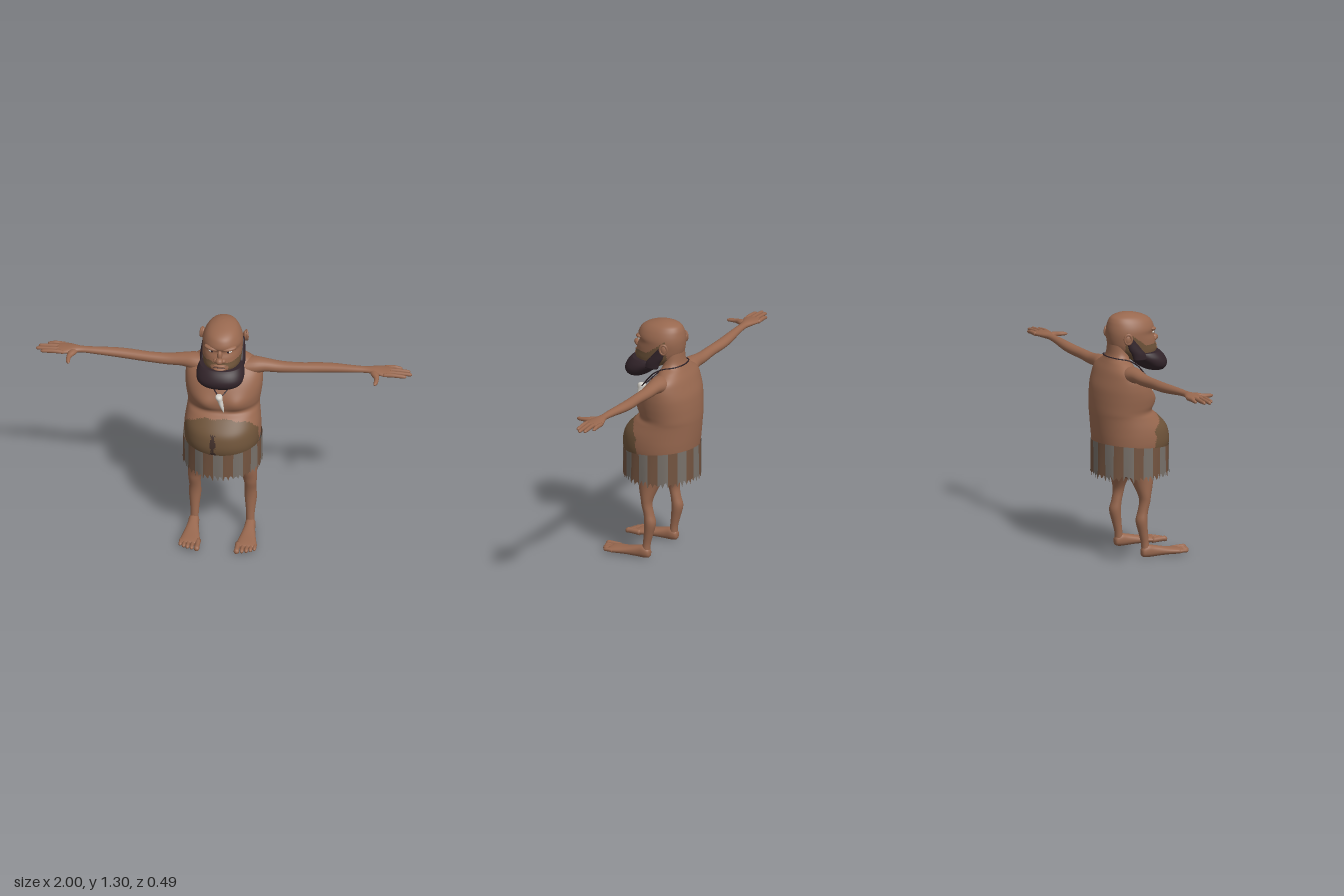
import * as THREE from 'three';

const material = (name, color, side = THREE.FrontSide) => {
  const m = new THREE.MeshStandardMaterial({ color, side });
  m.name = name;
  return m;
};

// Smooth closed body swept along an axis (0 x, 1 y, 2 z).
// Each row is [position, centre1, centre2, radius1, radius2], the two cross
// directions following the axis in x-y-z-x order (for y: z first, then x).
function loft(axis, rows, { n = 24, sub = 4, power = 2, shape, paint } = {}) {
  const pos = [], last = rows.length - 1, rings = last * sub + 1;
  const flip = rows[last][0] < rows[0][0];
  const row = (t) => {
    const i = Math.min(Math.floor(t), last - 1), f = t - i;
    const a = rows[Math.max(i - 1, 0)], b = rows[i], c = rows[i + 1], d = rows[Math.min(i + 2, last)];
    return b.map((v, k) => v + 0.5 * f * (c[k] - a[k]
      + f * (2 * a[k] - 5 * v + 4 * c[k] - d[k] + f * (3 * (v - c[k]) + d[k] - a[k]))));
  };
  const bulge = (v) => Math.sign(v) * Math.pow(Math.abs(v), 2 / power);
  const push = (t, c1, c2) => {
    const p = [0, 0, 0];
    p[axis] = t; p[(axis + 1) % 3] = c1; p[(axis + 2) % 3] = c2;
    if (shape) shape(p);
    pos.push(...p);
  };
  for (let i = 0; i < rings; i++) {
    const [t, c1, c2, r1, r2] = row(i / sub);
    for (let j = 0; j < n; j++) {
      const a = (j / n) * Math.PI * 2;
      push(t, c1 + r1 * bulge(Math.cos(a)), c2 + r2 * bulge(Math.sin(a)));
    }
  }
  push(...rows[0].slice(0, 3));
  push(...rows[last].slice(0, 3));
  const lists = [[], [], []];
  const tri = (a, b, c) => {
    const mid = [0, 1, 2].map((k) => (pos[a * 3 + k] + pos[b * 3 + k] + pos[c * 3 + k]) / 3);
    lists[paint ? paint(...mid) : 0].push(a, flip ? c : b, flip ? b : c);
  };
  for (let j = 0; j < n; j++) {
    const k = (j + 1) % n, top = (rings - 1) * n;
    for (let i = 0; i < rings - 1; i++) {
      const o = i * n, u = o + n;
      tri(o + j, o + k, u + j);
      tri(o + k, u + k, u + j);
    }
    tri(rings * n, k, j);
    tri(rings * n + 1, top + j, top + k);
  }
  const g = new THREE.BufferGeometry();
  g.setAttribute('position', new THREE.Float32BufferAttribute(pos, 3));
  g.setIndex(lists.flat());
  if (paint) {
    let start = 0;
    lists.forEach((l, i) => { g.addGroup(start, l.length, i); start += l.length; });
  }
  g.computeVertexNormals();
  return g;
}

// Profile rows [y, half width, front z, back z] turned into loft rows
const profile = (rows) => rows.map(([y, w, f, b]) => [y, (f + b) / 2, 0, (f - b) / 2, w]);

export function createModel() {
  const model = new THREE.Group();
  model.name = 'figure';
  const skin = material('skin', 0x98684f);
  const hair = material('bodyHair', 0x6f543a);
  const dark = material('beardHair', 0x32242a);
  const navel = material('darkHair', 0x42302a);
  const bone = material('bone', 0xd6d3cc);
  const gray = material('clothGray', 0x78716a, THREE.DoubleSide);
  const brown = material('clothBrown', 0x735440, THREE.DoubleSide);

  const add = (name, geometry, mat) => {
    const mesh = new THREE.Mesh(geometry, mat);
    mesh.name = name;
    model.add(mesh);
    return mesh;
  };
  const blob = (name, mat, p, r) => {
    const mesh = add(name, new THREE.SphereGeometry(1, 24, 16), mat);
    mesh.position.set(...p);
    mesh.scale.set(...r);
    return mesh;
  };

  // Torso with belly, chest and neck
  const torsoRows = [
    [0.40, 0.02, -0.01, -0.05], [0.43, 0.10, 0.03, -0.11], [0.48, 0.16, 0.10, -0.18],
    [0.55, 0.187, 0.15, -0.215], [0.60, 0.20, 0.171, -0.226], [0.65, 0.203, 0.17, -0.233],
    [0.70, 0.20, 0.152, -0.238], [0.755, 0.192, 0.10, -0.242], [0.785, 0.19, 0.064, -0.243],
    [0.82, 0.195, 0.068, -0.242], [0.87, 0.202, 0.064, -0.238], [0.92, 0.205, 0.045, -0.23],
    [0.97, 0.20, 0.01, -0.213], [1.01, 0.18, -0.03, -0.197], [1.045, 0.13, -0.05, -0.178],
    [1.07, 0.088, -0.055, -0.165], [1.10, 0.074, -0.05, -0.157], [1.16, 0.072, -0.04, -0.152],
  ];
  const chest = (p) => {
    if (p[2] < -0.05) return;
    const dx = (Math.abs(p[0]) - 0.085) / 0.06, dy = (p[1] - 0.845) / 0.045;
    p[2] += 0.02 * Math.exp(-dx * dx - dy * dy);
  };
  const bellyPaint = (x, y, z) => {
    if (z < 0.02 + 0.006 * Math.sin(y * 70) || y < 0.5) return 0;
    if (y > 0.69 + (z - 0.02) + 0.007 * Math.sin(x * 55)) return 0;
    return Math.abs(x + 0.03) < 0.013 + 0.004 * Math.sin(y * 90) && y < 0.695 ? 2 : 1;
  };
  add('torso', loft(1, profile(torsoRows), { n: 128, sub: 6, power: 2.15, shape: chest, paint: bellyPaint }),
    [skin, hair, navel]);

  // Head with stubble above the beard
  const headRows = [
    [1.04, 0.05, 0.08, -0.02], [1.07, 0.09, 0.10, -0.08], [1.10, 0.10, 0.117, -0.13],
    [1.13, 0.104, 0.111, -0.15], [1.16, 0.106, 0.104, -0.158], [1.19, 0.107, 0.092, -0.161],
    [1.215, 0.106, 0.10, -0.161], [1.24, 0.099, 0.094, -0.157], [1.265, 0.086, 0.077, -0.149],
    [1.285, 0.067, 0.042, -0.133], [1.30, 0.035, -0.01, -0.095], [1.305, 0.004, -0.05, -0.058],
  ];
  const stubble = (x, y, z) => {
    if (z < -0.1 || (Math.abs(x) < 0.045 && z > 0.08 && y < 1.12)) return 0;
    return y < 1.137 + Math.max(0, 0.01 - z) * 0.72 + 0.003 * Math.sin(x * 90) ? 1 : 0;
  };
  add('head', loft(1, profile(headRows), { n: 96, sub: 6, power: 2.1, paint: stubble }), [skin, hair]);

  // Beard
  add('beard', loft(1, profile([
    [0.984, 0.04, 0.125, 0.08], [0.99, 0.085, 0.146, 0.05], [1.01, 0.115, 0.161, 0.02],
    [1.035, 0.126, 0.165, -0.01], [1.06, 0.126, 0.155, -0.04], [1.08, 0.119, 0.14, -0.055],
    [1.092, 0.112, 0.125, -0.06],
  ]), { n: 48, power: 2.2 }), dark);

  // Facial features
  blob('noseBridge', skin, [0, 1.175, 0.095], [0.014, 0.03, 0.02]);
  blob('noseTip', skin, [0, 1.151, 0.114], [0.02, 0.018, 0.022]);
  blob('upperLip', skin, [0, 1.119, 0.1], [0.04, 0.009, 0.021]);
  blob('lowerLip', skin, [0, 1.099, 0.104], [0.036, 0.009, 0.023]);
  blob('mouthLine', dark, [0, 1.109, 0.1], [0.042, 0.003, 0.02]);

  for (const s of [1, -1]) {
    blob('nostril', skin, [s * 0.02, 1.147, 0.103], [0.013, 0.012, 0.015]);
    blob('eye', bone, [s * 0.045, 1.192, 0.071], [0.018, 0.009, 0.017]);
    blob('pupil', dark, [s * 0.043, 1.192, 0.084], [0.006, 0.007, 0.005]);
    blob('brow', skin, [s * 0.045, 1.21, 0.074], [0.042, 0.013, 0.024]).rotation.set(0, s * 0.3, s * 0.12);
    blob('ear', skin, [s * 0.112, 1.178, -0.103], [0.014, 0.03, 0.019]).rotation.y = s * 0.35;
    const rim = add('earRim', new THREE.TorusGeometry(0.019, 0.006, 8, 20), skin);
    rim.position.set(s * 0.119, 1.182, -0.103);
    rim.rotation.y = Math.PI / 2 + s * 0.35;
    rim.scale.y = 1.3;
    add('sideburn', loft(1, [
      [1.06, -0.02, s * 0.1, 0.04, 0.02], [1.09, -0.03, s * 0.101, 0.04, 0.02],
      [1.12, -0.052, s * 0.101, 0.036, 0.017], [1.15, -0.068, s * 0.101, 0.027, 0.013],
      [1.175, -0.08, s * 0.102, 0.015, 0.009], [1.182, -0.084, s * 0.102, 0.004, 0.003],
    ]), dark);

    // Arm and palm
    add('arm', loft(0, [
      [0.09, 0.99, -0.1, 0.045, 0.06], [0.16, 0.997, -0.1, 0.044, 0.054], [0.22, 1.001, -0.1, 0.035, 0.041],
      [0.3, 0.996, -0.1, 0.03, 0.034], [0.4, 0.999, -0.1, 0.027, 0.03], [0.5, 1.004, -0.106, 0.026, 0.031],
      [0.58, 1.009, -0.106, 0.024, 0.029], [0.68, 1.015, -0.1, 0.019, 0.023], [0.755, 1.018, -0.098, 0.016, 0.021],
      [0.8, 1.019, -0.098, 0.017, 0.033], [0.84, 1.018, -0.097, 0.015, 0.046], [0.88, 1.017, -0.097, 0.012, 0.047],
      [0.893, 1.016, -0.097, 0.007, 0.04],
    ].map(([x, ...r]) => [s * x, ...r])), skin);

    // Fingers and thumb
    [[-0.137, 0.942], [-0.109, 0.988], [-0.083, 1.0], [-0.059, 0.972]].forEach(([z, tip]) => {
      add('finger', loft(0, [
        [0.85, 1.017, z, 0.01, 0.011], [0.9, 1.019, z, 0.011, 0.0105], [tip - 0.02, 1.016, z, 0.0095, 0.0095],
        [tip - 0.005, 1.015, z, 0.007, 0.007], [tip, 1.015, z, 0.002, 0.002],
      ].map(([x, ...r]) => [s * x, ...r]), { n: 12 }), skin);
    });
    add('thumb', loft(2, [
      [-0.1, s * 0.79, 1.016, 0.02, 0.014], [-0.06, s * 0.805, 1.016, 0.022, 0.015],
      [-0.025, s * 0.818, 1.013, 0.013, 0.012], [0.01, s * 0.818, 1.011, 0.011, 0.01],
      [0.025, s * 0.815, 1.01, 0.007, 0.007], [0.03, s * 0.814, 1.01, 0.002, 0.002],
    ], { n: 14 }), skin);

    // Leg and foot
    add('leg', loft(1, [
      [0.03, -0.016, 0.15, 0.022, 0.024], [0.08, -0.02, 0.148, 0.021, 0.022], [0.135, -0.03, 0.148, 0.025, 0.026],
      [0.2, -0.04, 0.148, 0.031, 0.033], [0.25, -0.032, 0.147, 0.027, 0.031], [0.3, -0.021, 0.148, 0.028, 0.033],
      [0.34, -0.02, 0.143, 0.034, 0.041], [0.4, -0.022, 0.125, 0.054, 0.059], [0.45, -0.03, 0.11, 0.068, 0.075],
      [0.52, -0.04, 0.1, 0.08, 0.085],
    ].map((r) => (r[2] *= s, r))), skin);
    add('foot', loft(2, [
      [-0.042, 0.15, 0.03, 0.008, 0.01], [-0.035, 0.15, 0.031, 0.021, 0.024], [-0.01, 0.15, 0.036, 0.028, 0.034],
      [0.03, 0.15, 0.033, 0.03, 0.03], [0.1, 0.15, 0.027, 0.042, 0.021], [0.16, 0.15, 0.023, 0.054, 0.017],
      [0.185, 0.15, 0.022, 0.055, 0.013], [0.195, 0.15, 0.021, 0.046, 0.009],
    ].map((r) => (r[1] *= s, r)), { power: 2.3 }), skin);
    [[0.106, 0.248, 0.015], [0.133, 0.241, 0.011], [0.156, 0.235, 0.011], [0.177, 0.226, 0.0105], [0.197, 0.213, 0.01]]
      .forEach(([x, tip, r]) => add('toe', loft(2, [
        [0.16, s * x, 0.022, r, r], [tip - 0.03, s * x, 0.024, r * 0.9, r * 0.95], [tip - 0.014, s * x, 0.023, r, r],
        [tip - 0.004, s * x, 0.022, r * 0.7, r * 0.7], [tip, s * x, 0.022, r * 0.2, r * 0.2],
      ], { n: 12 }), skin));
  }

  // Striped skirt with a ragged hem
  let seed = 7;
  const random = () => (seed = (seed * 16807) % 2147483647) / 2147483647;
  const stripes = 24, per = 6, cols = stripes * per, verts = [], faces = [[], []];
  for (let j = 0; j < cols; j++) {
    const a = ((j - per / 2) / cols) * Math.PI * 2, hem = 0.418 + (j % 3 ? 0.018 + 0.022 * random() : 0.016 * random());
    const ripple = 1 + 0.012 * Math.sin(a * 12);
    const top = 0.602 - 0.085 * (Math.cos(a) * 0.207 - 0.03);
    [[top, 1], [(top + hem) / 2, (1 + ripple) / 2], [hem, ripple]].forEach(([y, k]) =>
      verts.push(Math.sin(a) * 0.209 * k, y, -0.031 + Math.cos(a) * 0.206 * k));
    const o = j * 3, u = ((j + 1) % cols) * 3, list = faces[Math.floor(j / per) % 2];
    for (const i of [0, 1]) list.push(o + i, o + i + 1, u + i, o + i + 1, u + i + 1, u + i);
  }
  const skirt = new THREE.BufferGeometry();
  skirt.setAttribute('position', new THREE.Float32BufferAttribute(verts, 3));
  skirt.setIndex(faces.flat());
  skirt.addGroup(0, faces[0].length, 0);
  skirt.addGroup(faces[0].length, faces[1].length, 1);
  skirt.computeVertexNormals();
  add('skirt', skirt, [gray, brown]);

  // Necklace cord and tooth pendant
  const half = [[0.05, 0.925, 0.068], [0.075, 0.98, 0.018], [0.092, 1.03, -0.035],
    [0.1, 1.062, -0.09], [0.075, 1.074, -0.148]];
  half[0][0] = 0.028;
  half[1][0] = 0.062;
  const loop = [[0, 0.905, 0.09], ...half, [0, 1.076, -0.169], ...half.map(([x, y, z]) => [-x, y, z]).reverse()];
  const cord = new THREE.CatmullRomCurve3(loop.map((p) => new THREE.Vector3(...p)), true);
  add('necklaceCord', new THREE.TubeGeometry(cord, 96, 0.0035, 6, true), dark);
  add('toothPendant', loft(1, [
    [0.817, 0.102, 0.021, 0.002, 0.002], [0.85, 0.101, 0.012, 0.011, 0.01], [0.885, 0.097, 0.002, 0.017, 0.014],
    [0.904, 0.095, -0.004, 0.023, 0.019], [0.915, 0.094, -0.005, 0.019, 0.016], [0.919, 0.094, -0.005, 0.008, 0.007],
  ], { n: 16 }), bone);

  return model;
}
